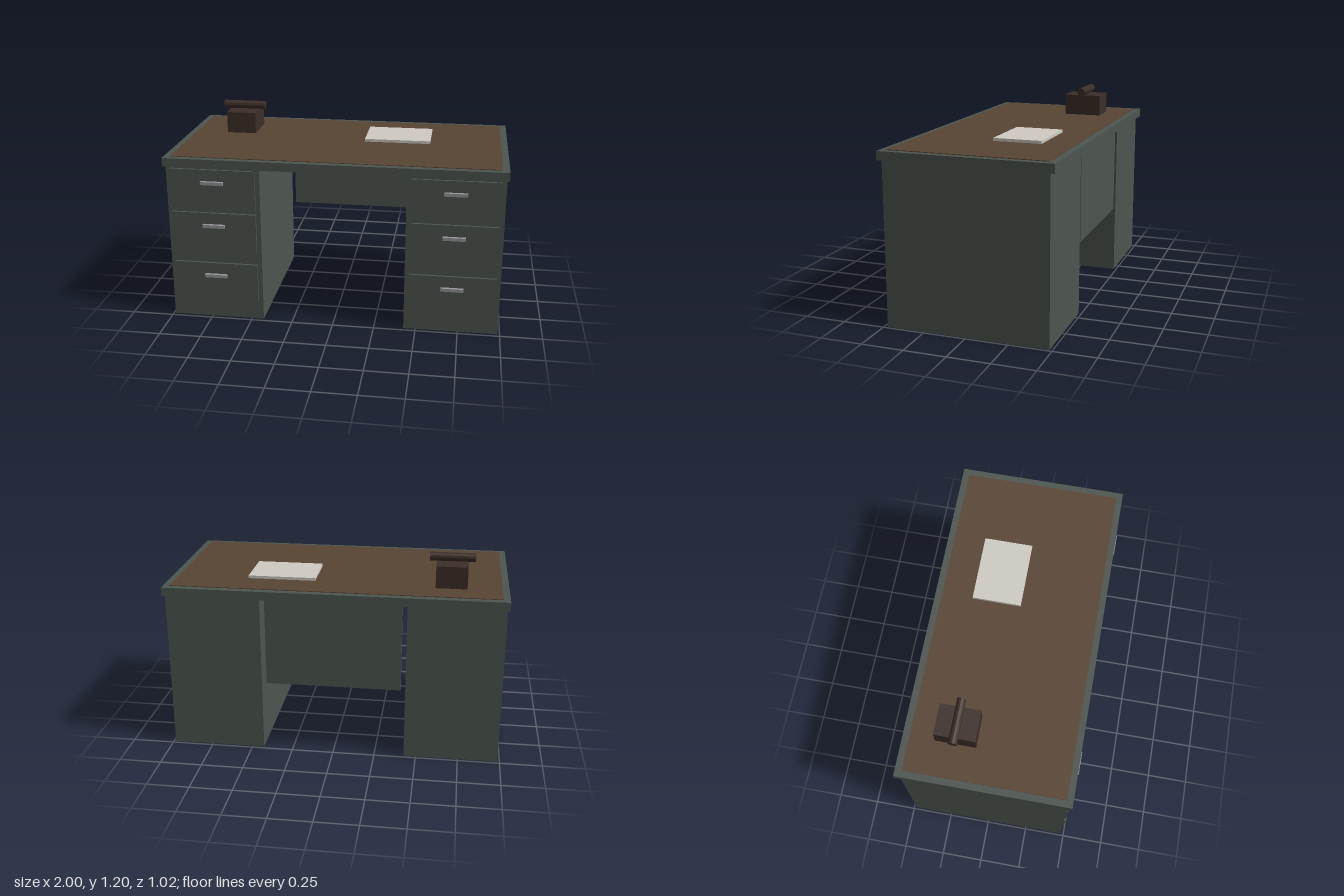
import * as THREE from 'three';

const mat = (color) => new THREE.MeshStandardMaterial({ color, flatShading: true });

export function createModel() {
  const desk = new THREE.Group();
  desk.name = 'desk';
  const steel = mat(0x4d5550);
  const brown = mat(0x584434);
  const metal = mat(0x96969a);
  const paperWhite = mat(0xcfcbc3);
  const dark = mat(0x3c2e28);

  // Box given by its minimum and maximum along each axis
  function box(name, [x0, x1], [y0, y1], [z0, z1], material, parent = desk) {
    const mesh = new THREE.Mesh(new THREE.BoxGeometry(x1 - x0, y1 - y0, z1 - z0), material);
    mesh.position.set((x0 + x1) / 2, (y0 + y1) / 2, (z0 + z1) / 2);
    mesh.name = name;
    parent.add(mesh);
    return mesh;
  }

  // Table top with inset writing surface
  box('top', [-1, 1], [0.963, 1.015], [-0.51, 0.502], steel);
  box('writingSurface', [-0.96, 0.96], [1.005, 1.019], [-0.47, 0.465], brown);

  // Two pedestals, each with three drawers
  for (const [side, cx] of [['left', 0.708], ['right', -0.708]]) {
    const pedestal = new THREE.Group();
    pedestal.name = side + 'Pedestal';
    desk.add(pedestal);
    box('cabinet', [cx - 0.28, cx + 0.28], [0, 0.963], [-0.483, 0.477], steel, pedestal);
    for (const y of [0.83, 0.562, 0.241]) {
      box('drawerFront', [cx - 0.253, cx + 0.253], [y - 0.12, y + 0.12], [0.475, 0.491], steel, pedestal);
      box('drawerHandle', [cx - 0.067, cx + 0.067], [y + 0.032, y + 0.051], [0.489, 0.51], metal, pedestal);
    }
  }

  // Modesty panel between the pedestals at the back
  box('modestyPanel', [-0.4, 0.4], [0.43, 0.963], [-0.478, -0.451], steel);

  // Sheaf of paper
  box('paper', [0.132, 0.532], [1.017, 1.036], [-0.283, 0.008], paperWhite);

  // Telephone: block base with a handset lying across it
  const phone = new THREE.Group();
  phone.name = 'telephone';
  desk.add(phone);
  box('phoneBase', [-0.76, -0.577], [1.017, 1.15], [-0.323, -0.085], dark, phone);
  const handset = new THREE.Mesh(new THREE.CylinderGeometry(0.026, 0.026, 0.264, 12), dark);
  handset.rotation.z = Math.PI / 2;
  handset.position.set(-0.669, 1.175, -0.204);
  handset.name = 'handset';
  phone.add(handset);

  return desk;
}
